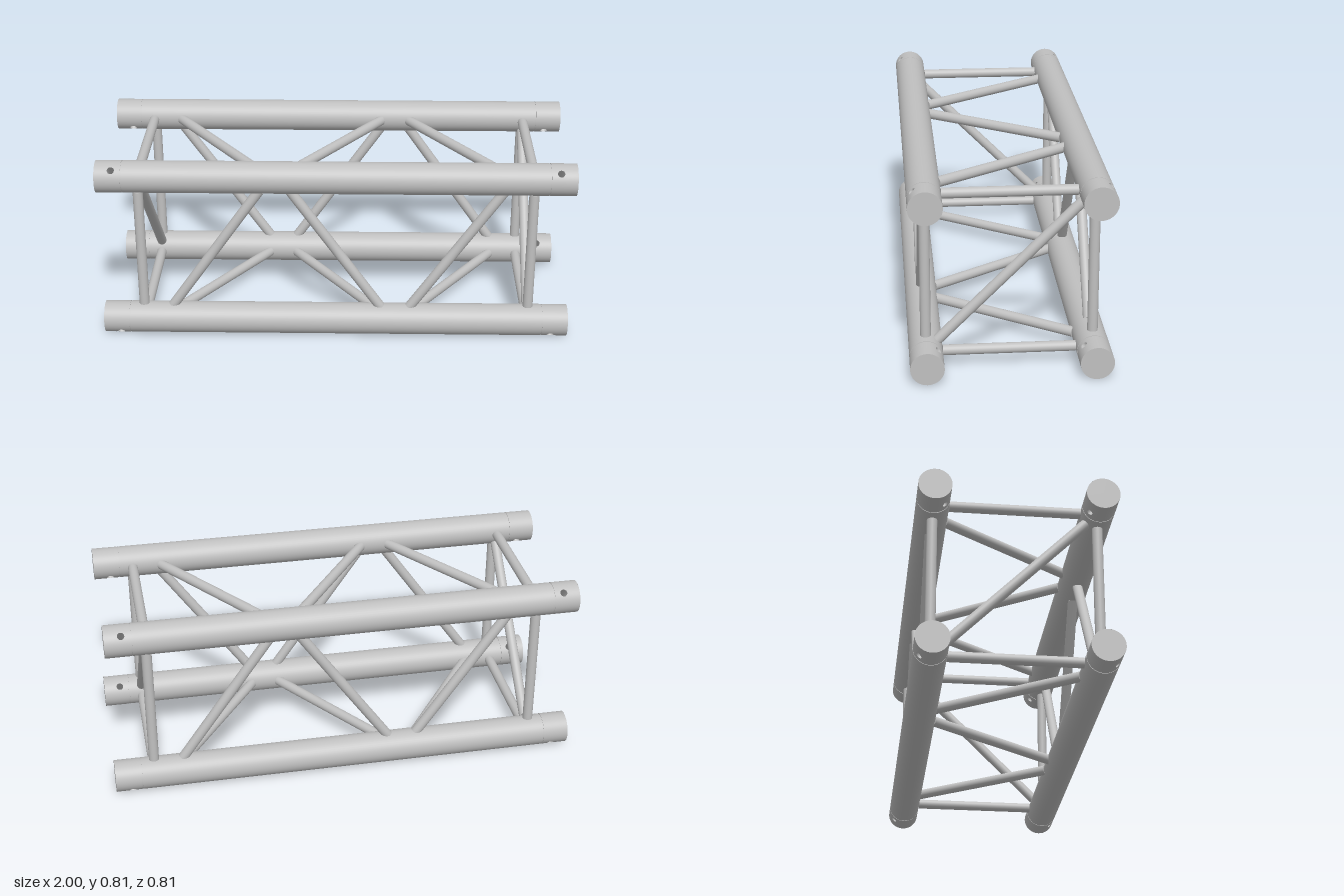
import * as THREE from 'three';

const R = 0.068;              // chord tube radius
const ROD = 0.0215;           // brace radius
const HOLE = 0.015;           // pin hole radius
const HOLE_X = 0.93;
const CY = 0.405, C = 0.336;  // centre height, chord offset from the centre
const SEAM = 0.889;           // where the end sleeves begin
const W = 0.8;                // half angle of the patch around a pin hole

const metal = new THREE.MeshStandardMaterial({ color: 0xc0c0c0, side: THREE.DoubleSide });
metal.name = 'aluminium grey';

function add(parent, geometry, name) {
  const mesh = new THREE.Mesh(geometry, metal);
  mesh.name = name;
  parent.add(mesh);
  return mesh;
}

// Straight cylinder between two points
function rod(parent, a, b, r, name, segments = 24) {
  const d = b.clone().sub(a);
  const mesh = add(parent, new THREE.CylinderGeometry(r, r, d.length(), segments), name);
  mesh.position.copy(a).add(b).multiplyScalar(0.5);
  mesh.quaternion.setFromUnitVectors(new THREE.Vector3(0, 1, 0), d.normalize());
  return mesh;
}

// Curved patch of sleeve wall around a pin hole, facing the angle "turn" about x
function holePatch(turn) {
  const rim = [], n = 10, steps = 4;
  const corners = [[SEAM + 0.002, -W], [1, -W], [1, W], [SEAM + 0.002, W]];
  corners.forEach((p, k) => {
    const q = corners[(k + 1) % 4];
    for (let i = 0; i < n; i++) {
      rim.push([p[0] + (q[0] - p[0]) * i / n, p[1] + (q[1] - p[1]) * i / n]);
    }
  });
  const pos = [], nor = [], index = [], m = rim.length;
  for (let s = 0; s <= steps; s++) {
    for (const [x, t] of rim) {
      const a = Math.atan2(R * t, x - HOLE_X);
      const hx = HOLE_X + HOLE * Math.cos(a);
      const ht = Math.asin(HOLE * Math.sin(a) / R);
      const f = s / steps;
      const ang = turn + ht + (t - ht) * f;
      pos.push(hx + (x - hx) * f, R * Math.cos(ang), R * Math.sin(ang));
      nor.push(0, Math.cos(ang), Math.sin(ang));
    }
  }
  for (let s = 0; s < steps; s++) {
    for (let i = 0; i < m; i++) {
      const j = (i + 1) % m, a = s * m, b = a + m;
      index.push(a + i, b + j, b + i, a + i, a + j, b + j);
    }
  }
  const g = new THREE.BufferGeometry();
  g.setAttribute('position', new THREE.Float32BufferAttribute(pos, 3));
  g.setAttribute('normal', new THREE.Float32BufferAttribute(nor, 3));
  g.setIndex(index);
  return g;
}

// End sleeve of a chord, drilled right through along its local y
function endSleeve() {
  const sleeve = new THREE.Group();
  sleeve.name = 'endSleeve';
  const x0 = SEAM + 0.002, length = 1 - x0;
  for (const k of [0, 1]) {
    add(sleeve, holePatch(k * Math.PI), 'drilledWall');
    const wall = new THREE.CylinderGeometry(R, R, length, 16, 1, true,
      -Math.PI / 2 + W + k * Math.PI, Math.PI - 2 * W);
    wall.rotateZ(-Math.PI / 2);
    add(sleeve, wall, 'plainWall').position.x = (1 + x0) / 2;
    const cap = new THREE.CircleGeometry(R, 48);
    cap.rotateY(k ? Math.PI / 2 : -Math.PI / 2);
    add(sleeve, cap, k ? 'outerCap' : 'innerCap').position.x = k ? 1 : x0;
  }
  // Bore whose ends follow the curve of the sleeve
  const bore = new THREE.CylinderGeometry(HOLE, HOLE, 2 * R, 40, 1, true);
  const p = bore.attributes.position;
  for (let i = 0; i < p.count; i++) {
    p.setY(i, Math.sign(p.getY(i)) * Math.sqrt(R * R - p.getZ(i) ** 2));
  }
  add(sleeve, bore, 'pinBore').position.x = HOLE_X;
  return sleeve;
}

export function createModel() {
  const model = new THREE.Group();
  model.name = 'boxTruss';
  const v = (x, y, z) => new THREE.Vector3(x, CY + y, z);
  const signs = [-1, 1];

  // Four main chords with a fine seam before each end sleeve
  for (const sy of signs) for (const sz of signs) {
    const y = sy * C, z = sz * C, e = SEAM - 0.002;
    rod(model, v(-e, y, z), v(e, y, z), R, 'chord', 48);
    for (const side of signs) {
      rod(model, v(side * (e - 0.01), y, z), v(side * (e + 0.01), y, z), R - 0.002, 'seam', 48);
      const sleeve = endSleeve();
      sleeve.position.copy(v(0, y, z));
      sleeve.rotation.set(Math.atan2(sz, sy), side < 0 ? Math.PI : 0, 0);
      model.add(sleeve);
    }
  }

  // End frames: uprights, cross bars and one diagonal each
  const g = C - R, d = C - R * Math.SQRT1_2;
  for (const sx of signs) {
    const x = sx * 0.83;
    for (const s of signs) {
      rod(model, v(x, -g, s * C), v(x, g, s * C), ROD, 'upright');
      rod(model, v(x, s * C, -g), v(x, s * C, g), ROD, 'crossBar');
    }
    rod(model, v(x, -d, sx * d), v(x, d, -sx * d), ROD, 'endDiagonal');
  }

  // Zigzag braces on the four long faces, mirrored on opposite faces
  const k = 1.03, dx = 0.187 * k, h = g * k;
  [-0.512, 0, 0.512].forEach((x, i) => {
    const lean = i === 1 ? -1 : 1;
    for (const s of signs) {
      const t = s * lean * dx;
      rod(model, v(x - t, -h, s * C), v(x + t, h, s * C), ROD, 'sideBrace');
      rod(model, v(x - t, s * C, -h), v(x + t, s * C, h), ROD, s > 0 ? 'topBrace' : 'bottomBrace');
    }
  });
  return model;
}
